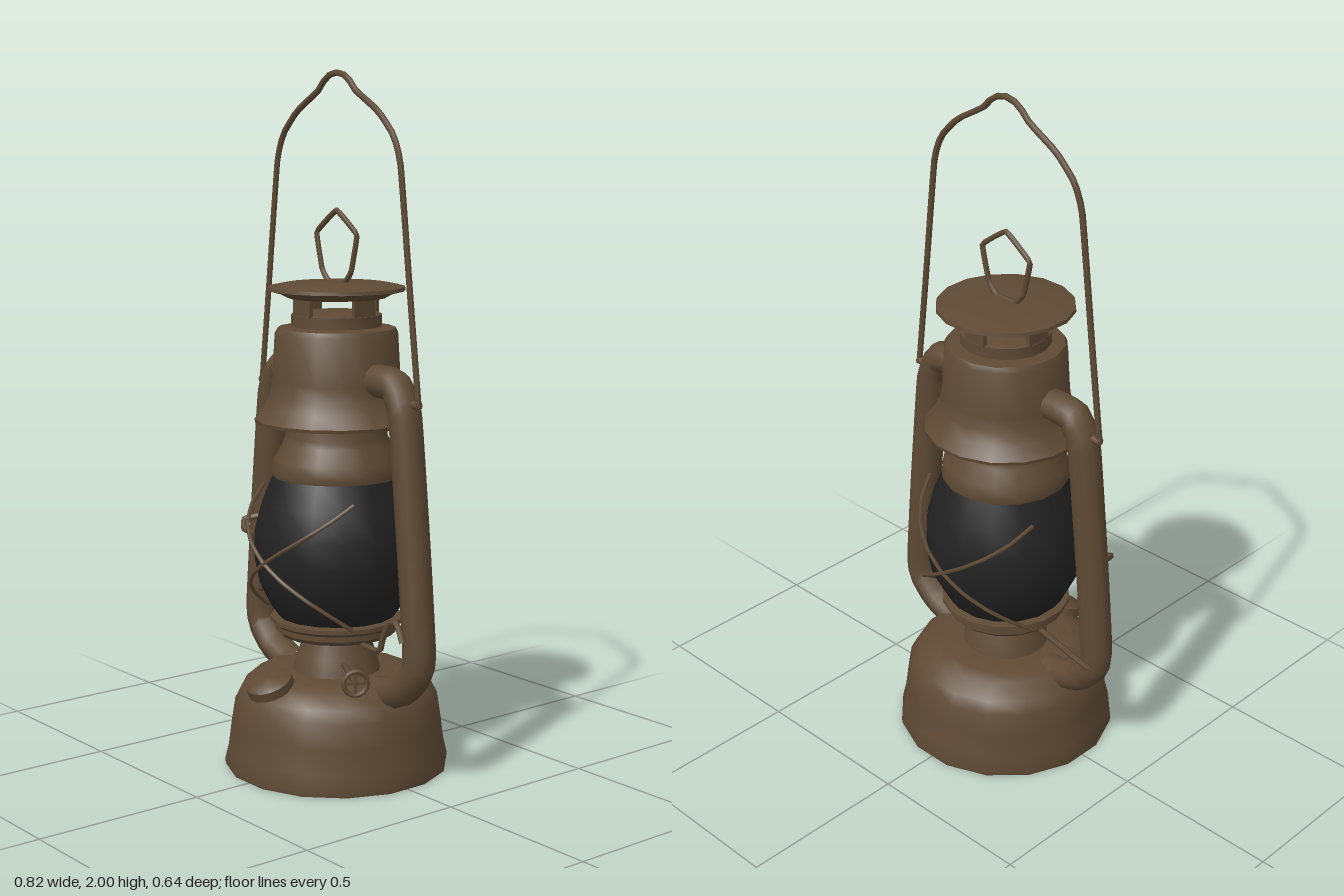
import * as THREE from 'three';
import { toCreasedNormals } from 'three/addons/utils/BufferGeometryUtils.js';

const SIDES = 16;

export function createModel() {
  const lantern = new THREE.Group();
  lantern.name = 'lantern';
  const metal = new THREE.MeshStandardMaterial({ color: 0x5e4a35 });
  metal.name = 'agedBrownMetal';
  const dark = new THREE.MeshStandardMaterial({ color: 0x222223 });
  dark.name = 'smokedGlass';

  const add = (name, geo, mat = metal) => {
    const mesh = new THREE.Mesh(geo, mat);
    mesh.name = name;
    lantern.add(mesh);
    return mesh;
  };
  // Turned part from [radius, height] pairs, listed bottom to top
  const turn = (name, profile, mat) => {
    const geo = new THREE.LatheGeometry(profile.map(p => new THREE.Vector2(...p)), SIDES);
    geo.rotateY(Math.PI / SIDES);
    return add(name, toCreasedNormals(geo, 0.6), mat);
  };
  // Bent tube or wire through [x, y, z] points
  const bend = (name, points, radius, segments = 30, sides = 6, closed = false, tension = 0.25) => {
    const curve = new THREE.CatmullRomCurve3(points.map(p => new THREE.Vector3(...p)), closed, 'catmullrom', tension);
    return add(name, new THREE.TubeGeometry(curve, segments, radius, sides, closed));
  };

  // Fuel tank
  turn('fuelTank', [[0, 0.005], [0.3, 0.005], [0.325, 0], [0.327, 0.015], [0.316, 0.06], [0.307, 0.13],
    [0.296, 0.2], [0.278, 0.235], [0.235, 0.272], [0.2, 0.283], [0, 0.283]]);

  // Burner neck and gallery holding the globe
  turn('burnerNeck', [[0.13, 0.275], [0.125, 0.295], [0.115, 0.33], [0.095, 0.385], [0.09, 0.41]]);
  turn('globeGallery', [[0.08, 0.385], [0.165, 0.392], [0.178, 0.405], [0.178, 0.42], [0.192, 0.43],
    [0.192, 0.442], [0.16, 0.447], [0, 0.447]]);

  // Glass globe
  turn('globe', [[0.165, 0.44], [0.19, 0.475], [0.222, 0.54], [0.238, 0.62], [0.236, 0.7],
    [0.215, 0.78], [0.182, 0.862]], dark);

  // Chimney, hood and vented crown
  turn('chimney', [[0, 0.855], [0.185, 0.855], [0.188, 0.87], [0.18, 0.905], [0.155, 0.95],
    [0.147, 0.97], [0.147, 1.05]]);
  turn('hood', [[0.14, 1.03], [0.233, 1.01], [0.235, 1.02], [0.208, 1.055], [0.19, 1.09], [0.184, 1.13],
    [0.176, 1.265], [0.168, 1.28], [0.13, 1.285], [0, 1.285]]);
  turn('ventBase', [[0.13, 1.28], [0.13, 1.318], [0.12, 1.322], [0, 1.322]]);
  for (let i = 0; i < 4; i++) {
    const post = add('ventPost', new THREE.BoxGeometry(0.075, 0.06, 0.012));
    const a = i * Math.PI / 2;
    post.position.set(Math.sin(a) * 0.12, 1.345, Math.cos(a) * 0.12);
    post.rotation.y = a;
  }
  turn('cap', [[0, 1.365], [0.14, 1.365], [0.165, 1.378], [0.197, 1.386], [0.195, 1.396],
    [0.15, 1.405], [0, 1.412]]);

  // Wire loop on the cap
  bend('capLoop', [[0, 1.61, 0], [-0.09, 1.545, 0], [-0.065, 1.44, 0], [-0.035, 1.408, 0],
    [0.035, 1.408, 0], [0.065, 1.44, 0], [0.09, 1.545, 0]], 0.008, 42, 6, true, 0.1);

  // Side air tubes with pivot studs
  for (const s of [-1, 1]) {
    bend('sideTube', [[0.15, 1.145], [0.22, 1.145], [0.265, 1.135], [0.297, 1.07], [0.312, 0.95], [0.34, 0.68],
      [0.364, 0.41], [0.355, 0.345], [0.3, 0.287], [0.23, 0.258], [0.18, 0.25]]
      .map(([x, y]) => [x * s, y, 0]), 0.047, 40, 10);
    const stud = add('handlePivot', new THREE.CylinderGeometry(0.012, 0.012, 0.08, 8));
    stud.rotation.z = Math.PI / 2;
    stud.position.set(s * 0.318, 1.095, 0);
  }

  // Carrying handle
  const half = [[0.355, 1.09], [0.32, 1.37], [0.275, 1.74], [0.245, 1.82], [0.18, 1.885], [0.085, 1.94], [0.045, 1.98]];
  bend('carryHandle', [...half.map(([x, y]) => [-x, y, 0]), [0, 1.991, 0],
    ...half.reverse().map(([x, y]) => [x, y, 0])], 0.009, 64, 6, false, 0.2);

  // Crossed guard wires at front and back of the globe
  for (const face of [0, Math.PI]) {
    for (const s of [-1, 1]) {
      const pts = [];
      for (let i = 0; i <= 8; i++) {
        const t = i / 8;
        const a = face + s * (t - 0.5) * 2.2;
        const r = 0.2 + 0.063 * Math.sin(Math.PI * (0.12 + 0.7 * t));
        pts.push([Math.sin(a) * r, 0.45 + 0.36 * t, Math.cos(a) * r]);
      }
      bend('guardWire', pts, 0.006, 24, 5);
    }
  }

  // Globe lift rod with its thumb lever
  bend('liftRod', [[-0.395, 0.39, -0.065], [-0.3, 0.392, -0.05], [0, 0.392, 0.01], [0.24, 0.392, 0.045],
    [0.265, 0.43, 0.05], [0.295, 0.485, 0.052], [0.335, 0.49, 0.055], [0.37, 0.445, 0.065]], 0.009, 40);

  // Hanging crank beside the left-hand tube
  bend('hangingCrank', [[-0.31, 0.69, 0.05], [-0.335, 0.68, 0.085], [-0.315, 0.655, 0.1], [-0.295, 0.64, 0.08],
    [-0.297, 0.56, 0.05], [-0.3, 0.47, 0.05], [-0.325, 0.465, 0.03]], 0.009, 36);

  // Wick adjuster: shaft and spoked wheel
  const wick = new THREE.Group();
  wick.name = 'wickAdjuster';
  const shaft = new THREE.Mesh(new THREE.CylinderGeometry(0.008, 0.008, 0.24, 6), metal);
  shaft.name = 'wickShaft';
  shaft.rotation.x = Math.PI / 2;
  shaft.position.z = -0.11;
  const wheel = new THREE.Mesh(new THREE.TorusGeometry(0.034, 0.007, 6, 14), metal);
  wheel.name = 'wickWheel';
  wick.add(shaft, wheel);
  for (let i = 0; i < 2; i++) {
    const spoke = new THREE.Mesh(new THREE.BoxGeometry(0.066, 0.008, 0.008), metal);
    spoke.name = 'wheelSpoke';
    spoke.rotation.z = i * Math.PI / 2;
    wick.add(spoke);
  }
  wick.position.set(0.27, 0.325, 0.15);
  wick.rotation.y = Math.atan2(0.27, 0.15);
  lantern.add(wick);

  // Tilted filler cap on the tank shoulder
  const filler = turn('fillerCap', [[0.042, -0.08], [0.045, -0.03], [0.068, -0.022], [0.068, 0.005],
    [0.055, 0.014], [0, 0.017]]);
  filler.position.set(0, 0.282, 0.245);
  filler.rotation.x = 0.38;

  return lantern;
}
